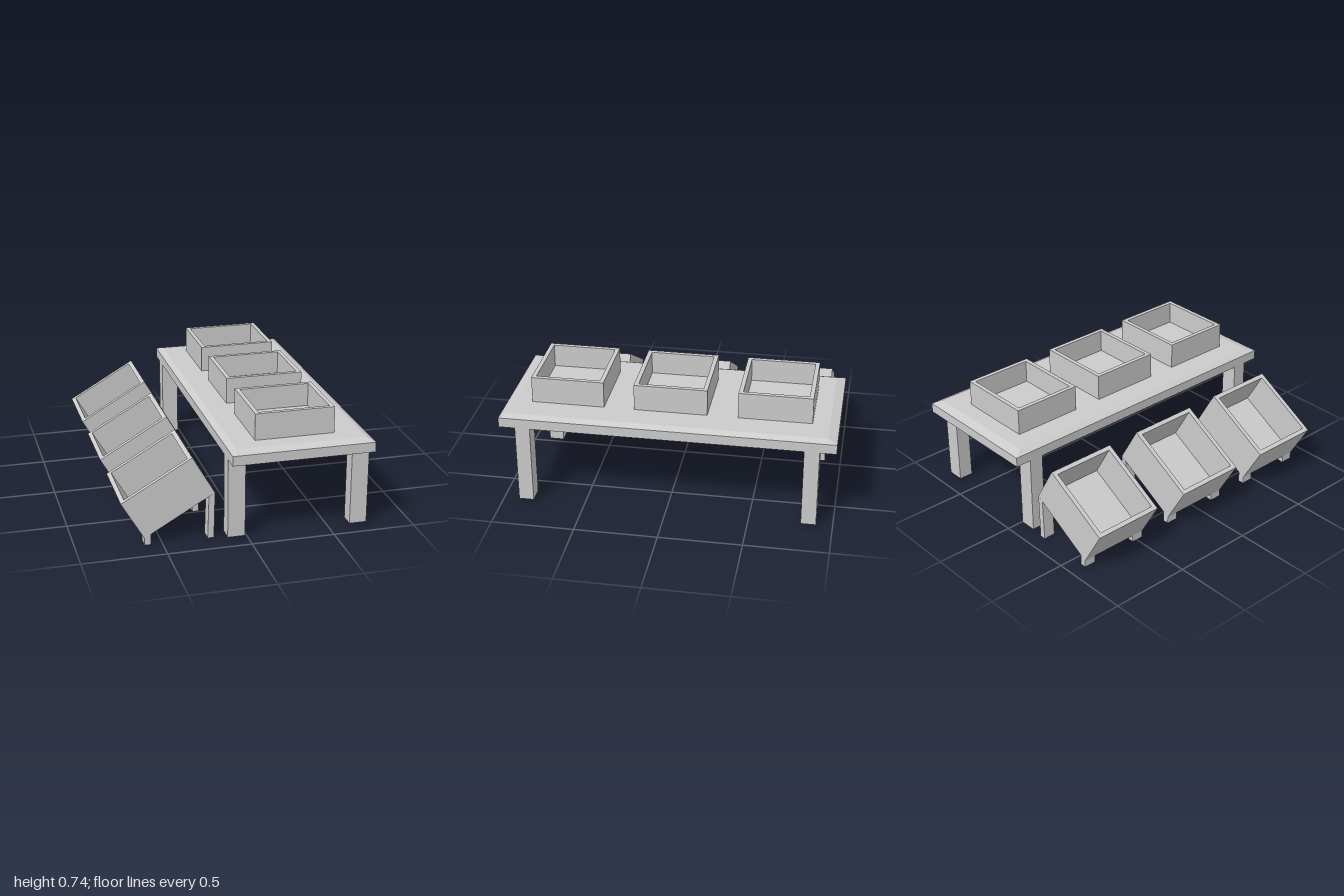
import * as THREE from 'three';

const material = new THREE.MeshStandardMaterial({ color: 0xcccccc, flatShading: true });

function add(parent, name, geometry, x = 0, y = 0, z = 0) {
  const mesh = new THREE.Mesh(geometry, material);
  mesh.name = name;
  mesh.position.set(x, y, z);
  parent.add(mesh);
  return mesh;
}

function rectPath(PathType, w, d) {
  const p = new PathType();
  p.moveTo(-w / 2, -d / 2).lineTo(w / 2, -d / 2).lineTo(w / 2, d / 2).lineTo(-w / 2, d / 2).closePath();
  return p;
}

// Open box standing on y = 0: a rim of four walls around a thin floor
function openBox(name, w, h, d, wall, floor) {
  const box = new THREE.Group();
  box.name = name;
  const outline = rectPath(THREE.Shape, w, d);
  outline.holes.push(rectPath(THREE.Path, w - 2 * wall, d - 2 * wall));
  const walls = new THREE.ExtrudeGeometry(outline, { depth: h, bevelEnabled: false });
  walls.rotateX(-Math.PI / 2);
  add(box, name + 'Walls', walls);
  add(box, name + 'Floor', new THREE.BoxGeometry(w - 2 * wall, floor, d - 2 * wall), 0, floor / 2, 0);
  return box;
}

// Bin leg: side profile extruded across its width
function legGeometry(points, width) {
  const shape = new THREE.Shape(points.map(([x, y]) => new THREE.Vector2(x, y)));
  const g = new THREE.ExtrudeGeometry(shape, { depth: width, bevelEnabled: false });
  return g.translate(0, 0, -width / 2);
}

function createTable() {
  const table = new THREE.Group();
  table.name = 'table';
  const cx = 0.3075, w = 0.855;
  add(table, 'tableTop', new THREE.BoxGeometry(w, 0.06, 2), cx, 0.53, 0);

  // Sloped upper edge: the top corners are drawn inwards
  const bevel = new THREE.BoxGeometry(w, 0.018, 2);
  const p = bevel.attributes.position;
  for (let i = 0; i < p.count; i++) {
    if (p.getY(i) > 0) {
      p.setX(i, p.getX(i) - Math.sign(p.getX(i)) * 0.038);
      p.setZ(i, p.getZ(i) - Math.sign(p.getZ(i)) * 0.056);
    }
  }
  bevel.computeVertexNormals();
  add(table, 'tableTopBevel', bevel, cx, 0.569, 0);

  for (const sx of [-1, 1]) {
    for (const sz of [-1, 1]) {
      add(table, 'tableLeg', new THREE.BoxGeometry(0.105, 0.49, 0.09), cx + sx * 0.375, 0.255, sz * 0.857);
    }
  }

  // Shallow trays on the table
  for (const z of [-0.623, 0, 0.622]) {
    const tray = openBox('tray', 0.48, 0.162, 0.44, 0.026, 0.02);
    tray.position.set(0.295, 0.578, z);
    table.add(tray);
  }
  return table;
}

function createBin() {
  const bin = new THREE.Group();
  bin.name = 'tiltedBin';
  const tilt = Math.PI / 6, length = 0.484;

  // Box tilted about its low bottom edge
  const box = openBox('bin', length, 0.267, 0.447, 0.027, 0.035);
  box.rotation.z = tilt;
  box.position.set(-0.605 + Math.cos(tilt) * length / 2, 0.044 + Math.sin(tilt) * length / 2, 0);
  bin.add(box);

  // Short legs at the low edge, tall legs at the high edge
  const shortLeg = legGeometry([[-0.605, 0], [-0.567, 0], [-0.567, 0.066], [-0.605, 0.044]], 0.075);
  const tallLeg = legGeometry([[-0.23, 0], [-0.192, 0], [-0.186, 0.285], [-0.222, 0.264]], 0.075);
  for (const s of [-1, 1]) {
    add(bin, 'shortLeg', shortLeg, 0, 0, s * 0.186);
    add(bin, 'tallLeg', tallLeg, 0, 0, s * 0.186);
  }
  return bin;
}

export function createModel() {
  const model = new THREE.Group();
  model.name = 'tableWithBins';
  model.add(createTable());
  for (const z of [-0.68, -0.021, 0.638]) {
    const bin = createBin();
    bin.position.z = z;
    model.add(bin);
  }
  return model;
}
